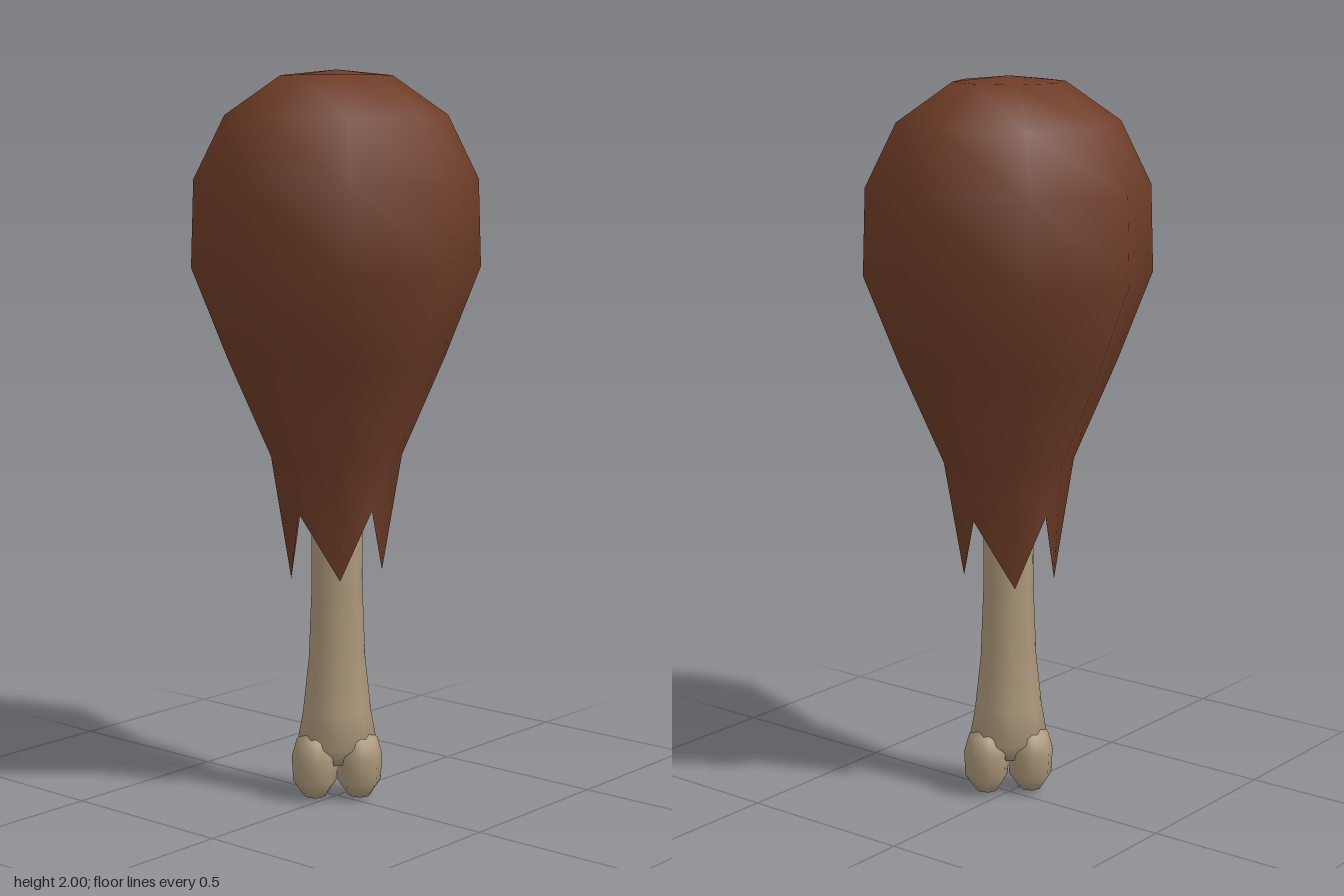
import * as THREE from 'three';

const SIDES = 8;

// Smooth lathe from rows of [y, half width in x, half width in z], listed from bottom to top
function loft(rows, sides = SIDES) {
  const geo = new THREE.LatheGeometry(rows.map(([y, w]) => new THREE.Vector2(w, y)), sides);
  const pos = geo.attributes.position;
  for (let i = 0; i < pos.count; i++) {
    const [, w, d] = rows[i % rows.length];
    if (w > 0) pos.setZ(i, pos.getZ(i) * d / w);
  }
  return geo;
}

function makeMeat() {
  const rows = [
    [0.82, 0.156, 0.126], [0.96, 0.184, 0.175], [1.23, 0.298, 0.295], [1.475, 0.392, 0.392],
    [1.71, 0.384, 0.384], [1.88, 0.3, 0.3], [1.985, 0.15, 0.15], [2, 0, 0],
  ];
  const geo = loft(rows);
  const pos = geo.attributes.position;
  const n = rows.length;
  // Pull every second corner of the lower rim down into a ragged tip
  const tips = [0.64, 0.63, 0.62, 0.635];
  for (let i = 0; i <= SIDES; i++) {
    if (i % 2) {
      const a = (i / SIDES) * Math.PI * 2;
      pos.setXYZ(i * n, Math.sin(a) * 0.125, tips[(i - 1) / 2], Math.cos(a) * 0.125);
    }
    geo.attributes.normal.setXYZ(i * n + n - 1, 0, 1, 0);
  }
  return geo;
}

export function createModel() {
  const meatMat = new THREE.MeshStandardMaterial({ color: 0x6e3c27, side: THREE.DoubleSide });
  meatMat.name = 'roastedBrown';
  const boneMat = new THREE.MeshStandardMaterial({ color: 0xab9779 });
  boneMat.name = 'boneBeige';

  const model = new THREE.Group();
  model.name = 'drumstick';
  const add = (parent, name, geo, mat) => {
    const mesh = new THREE.Mesh(geo, mat);
    mesh.name = name;
    parent.add(mesh);
    return mesh;
  };

  add(model, 'meat', makeMeat(), meatMat);

  // Bone, flaring along one diagonal
  const bone = new THREE.Group();
  bone.name = 'bone';
  bone.rotation.y = -Math.PI / 4;
  bone.position.set(-0.01, 0, 0.01);
  model.add(bone);

  add(bone, 'shaft', loft([
    [0.1, 0, 0], [0.1, 0.07, 0.04], [0.15, 0.112, 0.068], [0.25, 0.094, 0.064],
    [0.4, 0.078, 0.062], [0.6, 0.07, 0.06], [1.0, 0.07, 0.06], [1.0, 0, 0],
  ]), boneMat);

  // Two rounded knuckles at the foot of the bone
  for (const [name, side] of [['frontKnuckle', 1], ['backKnuckle', -1]]) {
    const knuckle = add(bone, name, loft([
      [0, 0, 0], [0.008, 0.032, 0.038], [0.05, 0.06, 0.07], [0.12, 0.064, 0.075],
      [0.17, 0.05, 0.062], [0.22, 0, 0],
    ]), boneMat);
    knuckle.position.x = side * 0.062;
  }

  return model;
}
